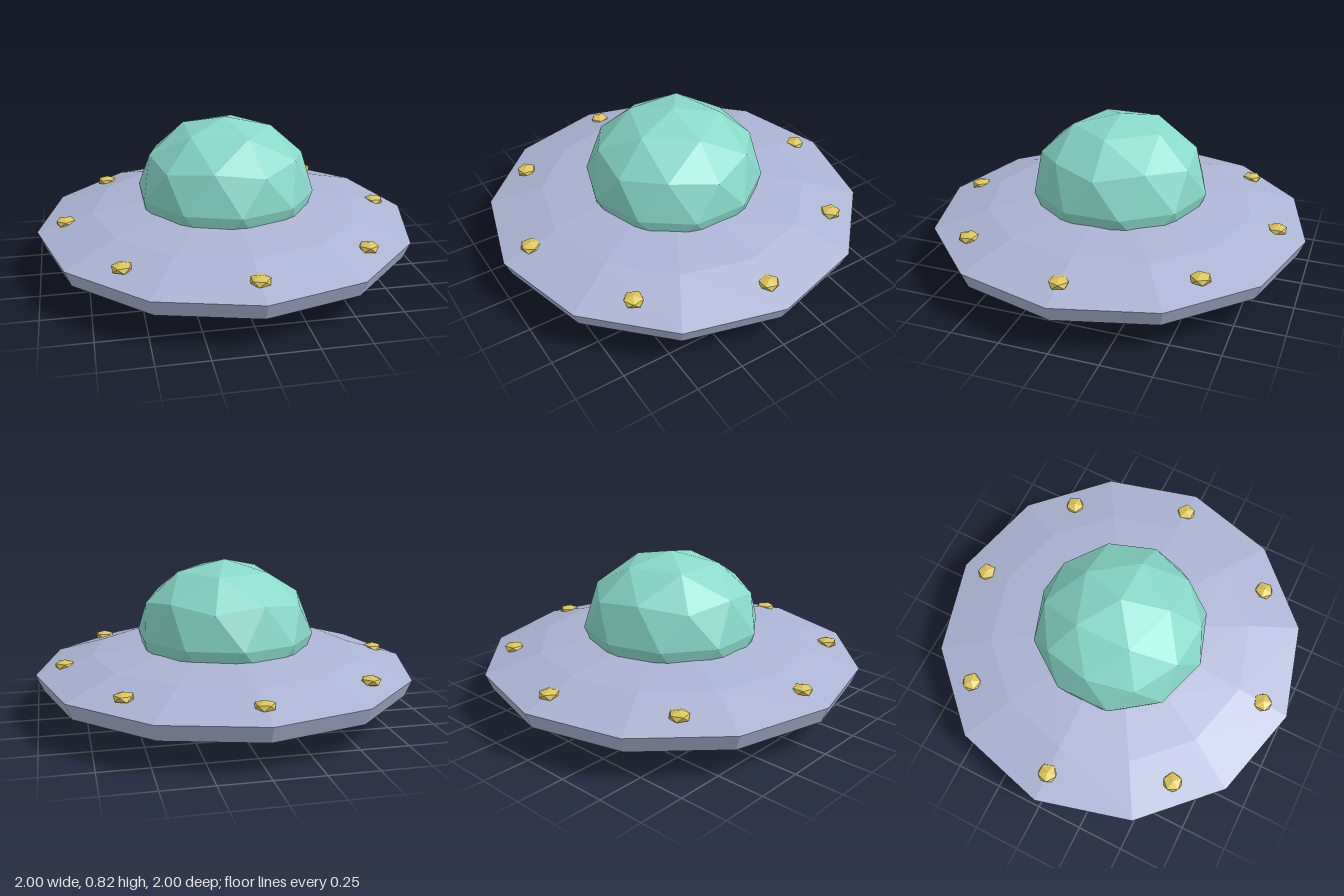
import * as THREE from 'three';

const hullPaint = new THREE.MeshStandardMaterial({ color: 0xacb4d4, flatShading: true });
hullPaint.name = 'lavender grey hull';
const domeGlass = new THREE.MeshStandardMaterial({ color: 0x88d8c8, flatShading: true });
domeGlass.name = 'mint dome';
const lampGold = new THREE.MeshStandardMaterial({ color: 0xdcc458, flatShading: true });
lampGold.name = 'gold lamp';

// Low-poly ball standing on a vertex, with one upper-ring vertex towards +x
function facetedBall(radius, height, detail) {
  const g = new THREE.IcosahedronGeometry(1, detail);
  g.rotateZ(-Math.atan(2 / (1 + Math.sqrt(5))));
  g.scale(radius, height, radius);
  g.computeVertexNormals();
  return g;
}

function addMesh(parent, name, geometry, material) {
  const mesh = new THREE.Mesh(geometry, material);
  mesh.name = name;
  parent.add(mesh);
  return mesh;
}

export function createModel() {
  const saucer = new THREE.Group();
  saucer.name = 'flyingSaucer';

  // Twelve-sided hull: shallow belly, slanted rim, gently rising deck
  const profile = [
    [0, 0], [0.575, 0.06], [0.965, 0.16], [1, 0.245], [0.71, 0.333], [0.42, 0.378], [0, 0.4],
  ].map(([r, y]) => new THREE.Vector2(r, y));
  const hull = new THREE.LatheGeometry(profile, 12).toNonIndexed();
  hull.computeVertexNormals();
  addMesh(saucer, 'hull', hull, hullPaint);

  // Faceted cockpit dome, sunk into the deck
  addMesh(saucer, 'dome', facetedBall(0.47, 0.39, 1), domeGlass).position.y = 0.43;

  // Ring of eight lamps around the deck
  const lampGeometry = facetedBall(0.055, 0.0275, 0);
  const lamps = new THREE.Group();
  lamps.name = 'lamps';
  for (let i = 0; i < 8; i++) {
    const a = (i / 8) * Math.PI * 2;
    const lamp = addMesh(lamps, 'lamp', lampGeometry, lampGold);
    lamp.position.set(Math.sin(a) * 0.85, 0.292, Math.cos(a) * 0.85);
    lamp.rotation.y = a;
  }
  saucer.add(lamps);

  return saucer;
}
